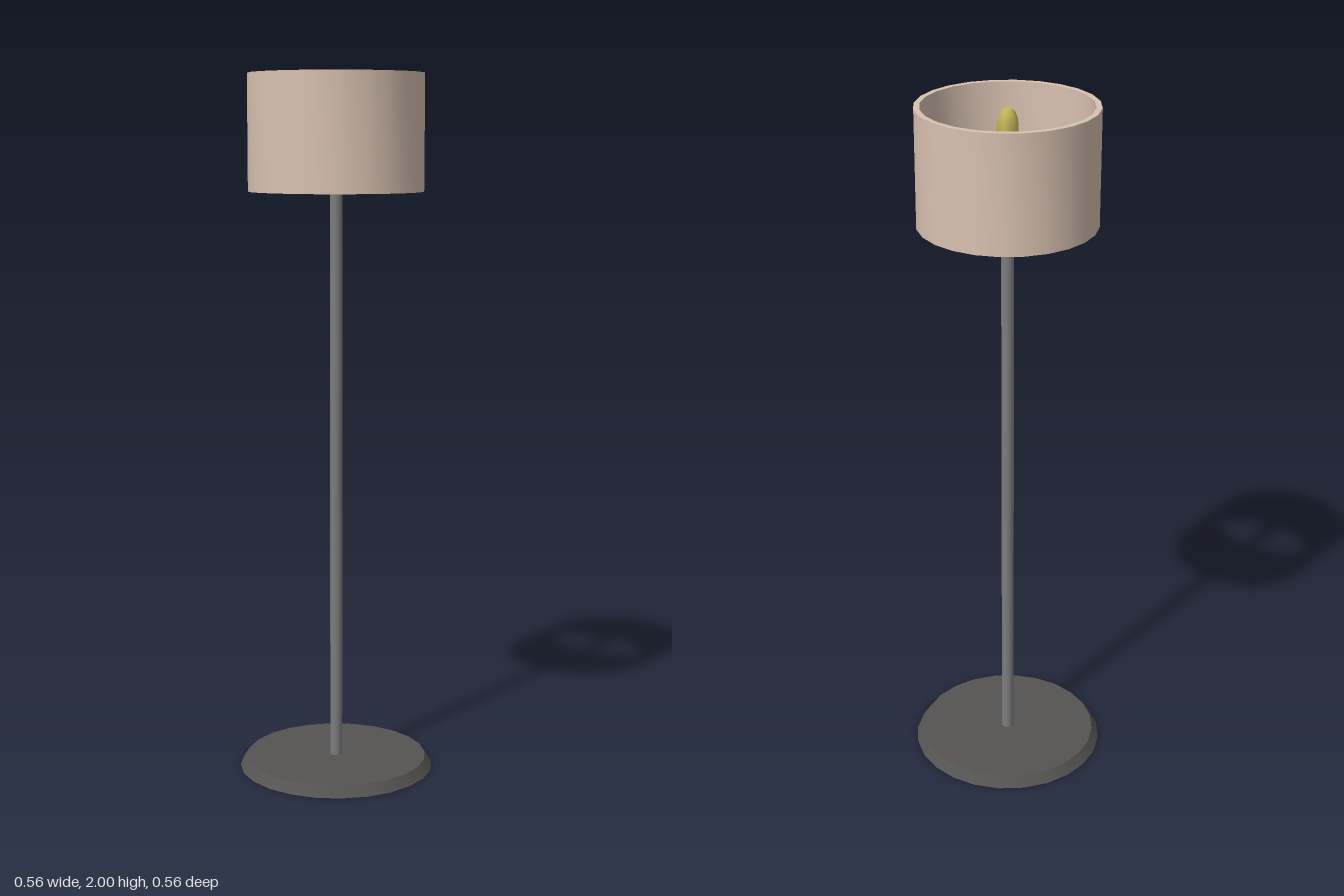
import * as THREE from 'three';
import { toCreasedNormals } from 'three/addons/utils/BufferGeometryUtils.js';

const SIDES = 24;

// Revolves [radius, y] pairs, outer side listed upwards, keeping hard edges sharp
function revolve(profile, sides, crease = 0.6) {
  const points = profile.map(([r, y]) => new THREE.Vector2(r, y));
  return toCreasedNormals(new THREE.LatheGeometry(points, sides), crease);
}

export function createModel() {
  const lamp = new THREE.Group();
  lamp.name = 'floorLamp';

  const add = (name, geometry, color) => {
    const mesh = new THREE.Mesh(geometry, new THREE.MeshStandardMaterial({ color }));
    mesh.name = name;
    lamp.add(mesh);
    return mesh;
  };

  // Round foot with a sloping rim
  add('base', revolve([[0, 0], [0.282, 0], [0.262, 0.03], [0, 0.03]], SIDES), 0x555452);

  // Slim upright pole
  const poleBottom = 0.03, poleTop = 1.84;
  const pole = add('pole',
    new THREE.CylinderGeometry(0.018, 0.018, poleTop - poleBottom, 12), 0x7d7d7d);
  pole.position.y = (poleBottom + poleTop) / 2;

  // Six-sided bulb with a domed tip, standing on the pole
  const bulbRadius = 0.029, domeStart = 1.945, domeHeight = 0.052;
  const bulbProfile = [[0, 1.83], [bulbRadius, 1.83]];
  for (let i = 0; i <= 4; i++) {
    const a = (i / 4) * Math.PI / 2;
    bulbProfile.push([bulbRadius * Math.cos(a), domeStart + domeHeight * Math.sin(a)]);
  }
  const bulb = add('bulb', revolve(bulbProfile, 6, 1.2), 0xc8b45a);
  bulb.rotation.y = Math.PI / 6;

  // Open drum shade with a thick wall
  add('shade', revolve([
    [0.231, 1.675], [0.247, 1.675], [0.247, 2], [0.231, 2], [0.231, 1.675],
  ], SIDES), 0xd9c2b1);

  return lamp;
}
